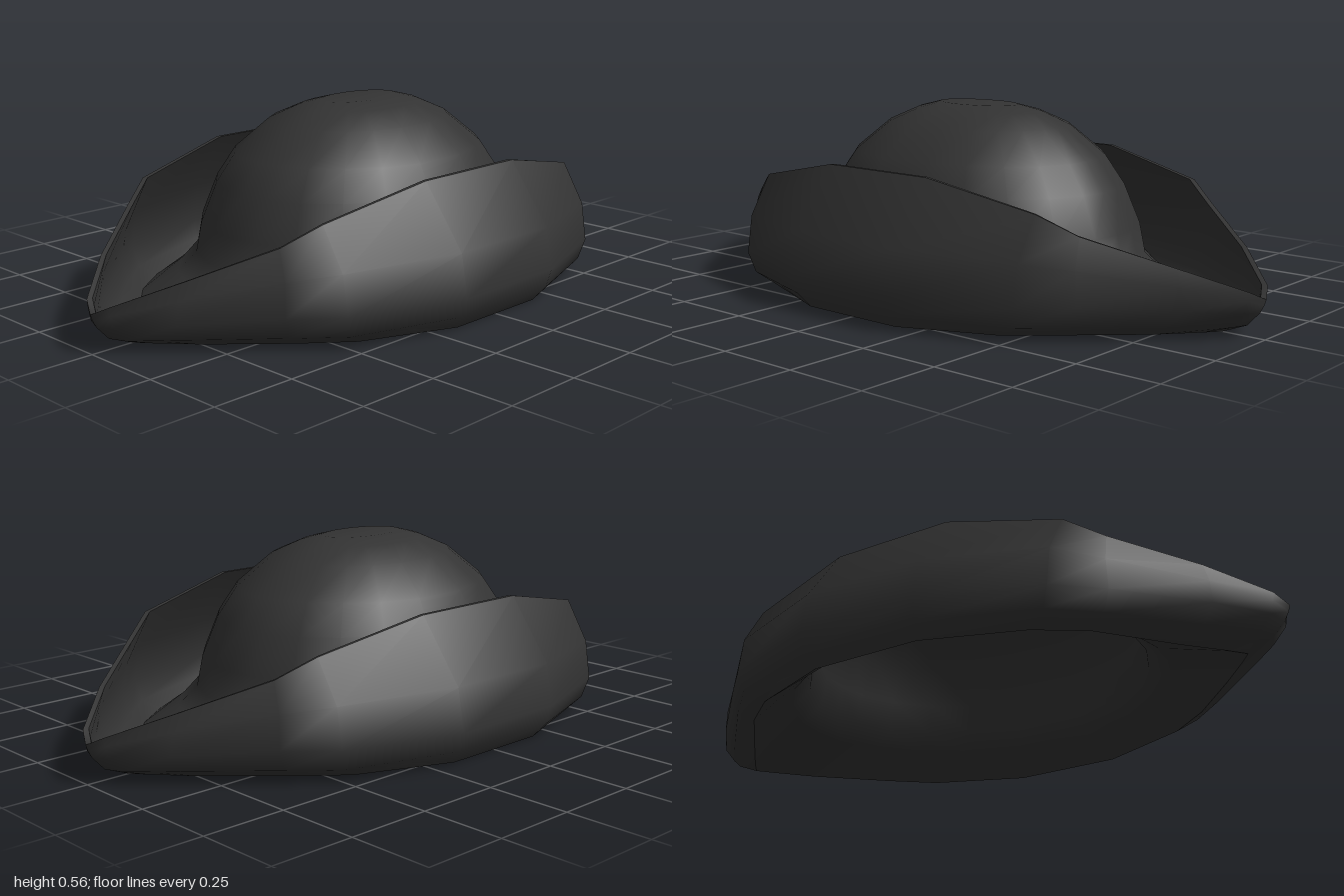
import * as THREE from 'three';

const felt = new THREE.MeshStandardMaterial({ color: 0x333333, side: THREE.DoubleSide });

// Mirror a quarter ring (front tip to side) into a full closed ring of [x, y, z]
function fullRing(quarter) {
  const back = quarter.map(([x, y, z]) => [x, y, -z]).reverse();
  const half = [...quarter, ...back];
  const other = half.slice(1, -1).map(([x, y, z]) => [-x, y, z]).reverse();
  return [...half, ...other];
}

// Smooth skin over a list of quarter rings
function loft(name, quarters) {
  const rings = quarters.map(fullRing);
  const n = rings[0].length;
  const index = [];
  for (let j = 0; j < rings.length - 1; j++) {
    for (let i = 0; i < n; i++) {
      const k = (i + 1) % n;
      const a = j * n + i, b = j * n + k, c = a + n, d = b + n;
      index.push(a, b, d, a, d, c);
    }
  }
  const geometry = new THREE.BufferGeometry();
  geometry.setAttribute('position', new THREE.Float32BufferAttribute(rings.flat(2), 3));
  geometry.setIndex(index);
  geometry.computeVertexNormals();
  const mesh = new THREE.Mesh(geometry, felt);
  mesh.name = name;
  return mesh;
}

// Elliptical quarter ring using the same columns as the brim
const columnAngles = [0, 12, 28, 44, 60, 78].map(THREE.MathUtils.degToRad);
const ellipse = (rx, rz, y) => columnAngles.map(a => [rx * Math.sin(a), y, rz * Math.cos(a)]);

// Brim cross-sections, each from the front tip round to the side
const bend = [[0, 0, 0.87], [0.045, 0, 0.835], [0.15, 0, 0.745], [0.34, 0.008, 0.58], [0.44, 0.005, 0.45], [0.55, 0.002, 0.17]];
const curl = [[0, 0.03, 0.945], [0.05, 0.03, 0.925], [0.165, 0.035, 0.82], [0.36, 0.04, 0.63], [0.468, 0.04, 0.51], [0.585, 0.045, 0.185]];
const widest = [[0, 0.07, 0.982], [0.05, 0.075, 0.965], [0.175, 0.085, 0.855], [0.37, 0.1, 0.65], [0.48, 0.1, 0.53], [0.6, 0.1, 0.19]];
const shoulder = [[0, 0.092, 0.994], [0.05, 0.11, 0.972], [0.178, 0.15, 0.85], [0.36, 0.195, 0.64], [0.462, 0.215, 0.53], [0.578, 0.225, 0.19]];
const rim = [[0, 0.11, 1], [0.05, 0.135, 0.975], [0.18, 0.2, 0.835], [0.33, 0.28, 0.63], [0.388, 0.335, 0.53], [0.445, 0.405, 0.19]];

// Shift a ring inwards for the thickness of the brim
const inset = (ring, t) => ring.map(([x, y, z]) => [x * (1 - t * 1.6), y, z * (1 - t)]);

export function createModel() {
  const hat = new THREE.Group();
  hat.name = 'hat';

  // Turned-up brim: outside, thin edge and lining
  hat.add(loft('brimOutside', [bend, curl, widest, shoulder, rim]));
  hat.add(loft('brimEdge', [rim, inset(rim, 0.018)]));
  hat.add(loft('brimLining', [inset(rim, 0.018), inset(shoulder, 0.018), inset(widest, 0.018), inset(curl, 0.015), bend]));

  // Brim floor sweeping up into the hollow domed crown
  hat.add(loft('crown', [
    bend,
    ellipse(0.47, 0.61, 0.08),
    ellipse(0.445, 0.54, 0.13),
    ellipse(0.432, 0.52, 0.22),
    ellipse(0.39, 0.47, 0.335),
    ellipse(0.338, 0.41, 0.42),
    ellipse(0.24, 0.3, 0.507),
    ellipse(0.15, 0.21, 0.547),
    ellipse(0.082, 0.14, 0.565),
    ellipse(0, 0, 0.565),
  ]));
  return hat;
}
